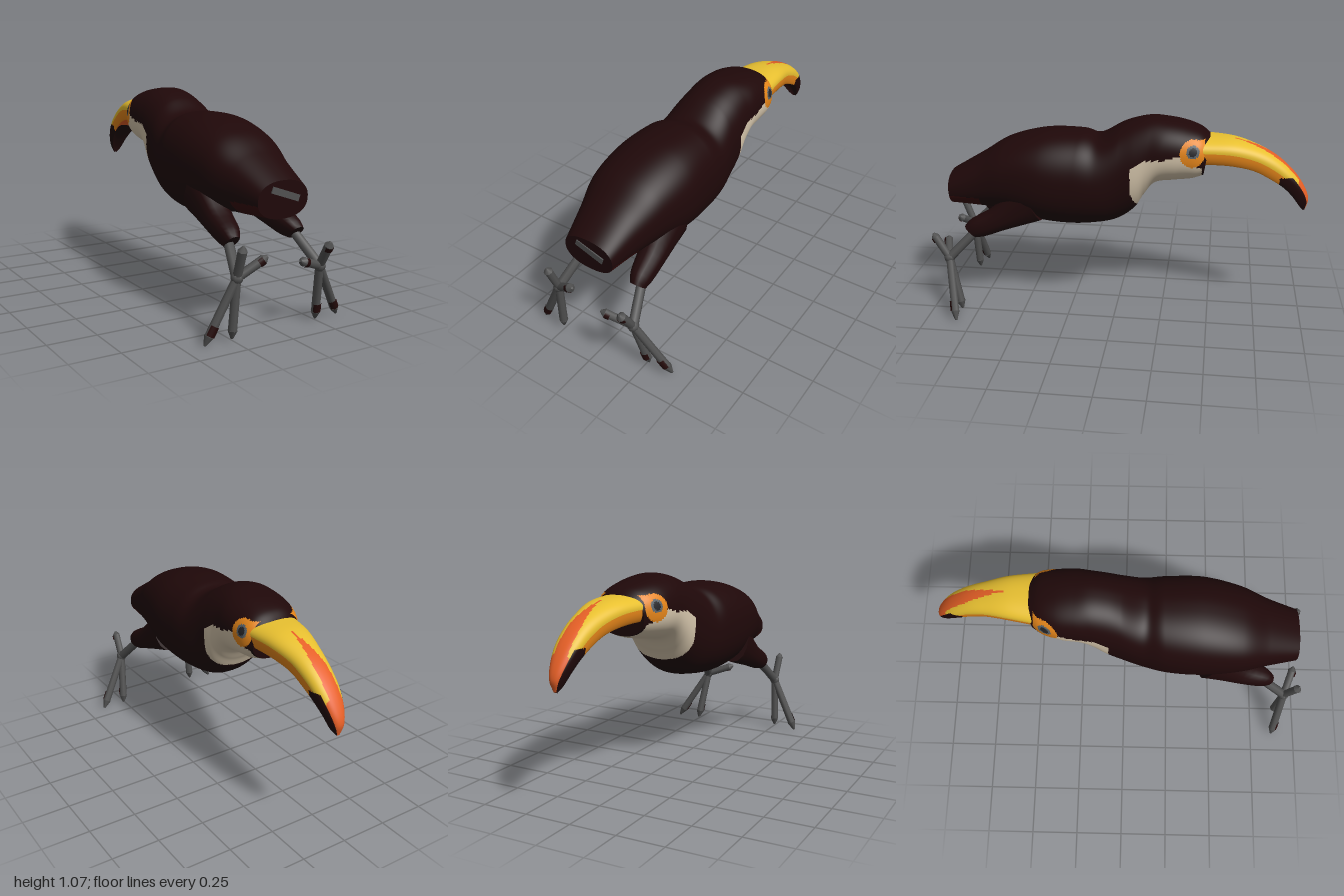
import * as THREE from 'three';

const mat = (name, color, side = THREE.FrontSide) => {
  const m = new THREE.MeshStandardMaterial({ color, side });
  m.name = name;
  return m;
};

// Skin stretched over sections [zTop, yTop, zBottom, yBottom, xCentre, halfWidth].
// paint(point, c) picks a material index; c is 1 on the ridge and -1 underneath.
function loft(sections, rows, cols, { paint = () => 0, hollow = false } = {}) {
  const top = new THREE.CatmullRomCurve3(
    sections.map(s => new THREE.Vector3(s[4], s[1], s[0])), false, 'catmullrom', 0.5);
  const bottom = new THREE.CatmullRomCurve3(
    sections.map(s => new THREE.Vector3(s[5], s[3], s[2])), false, 'catmullrom', 0.5);
  const soft = v => Math.sign(v) * Math.abs(v) ** 0.87;
  const pos = [];
  for (let i = 0; i <= rows; i++) {
    const a = top.getPoint(i / rows), b = bottom.getPoint(i / rows);
    for (let j = 0; j < cols; j++) {
      const angle = (j / cols) * Math.PI * 2;
      let c = soft(Math.cos(angle));
      // fold the underside inward for an open channel
      if (hollow && c < -0.6) c = -1.2 - c;
      if (hollow && c < 0) c /= 0.6;
      const k = (1 + c) / 2;
      pos.push(a.x + b.x * soft(Math.sin(angle)), b.y + (a.y - b.y) * k, b.z + (a.z - b.z) * k);
    }
  }
  const lists = [];
  const point = i => new THREE.Vector3().fromArray(pos, i * 3);
  for (let i = 0; i < rows; i++) {
    for (let j = 0; j < cols; j++) {
      const n = (j + 1) % cols;
      const a = i * cols + j, b = i * cols + n, c = a + cols, d = b + cols;
      const mid = point(a).add(point(d)).multiplyScalar(0.5);
      const m = paint(mid, Math.cos(((j + 0.5) / cols) * Math.PI * 2));
      (lists[m] ??= []).push(a, b, c, b, d, c);
    }
  }
  // end caps with their own vertices
  for (const row of [0, rows]) {
    const start = pos.length / 3;
    const centre = new THREE.Vector3();
    for (let j = 0; j < cols; j++) {
      const p = point(row * cols + j);
      centre.addScaledVector(p, 1 / cols);
      pos.push(p.x, p.y, p.z);
    }
    pos.push(centre.x, centre.y, centre.z);
    for (let j = 0; j < cols; j++) {
      const a = start + j, b = start + (j + 1) % cols;
      (lists[0] ??= []).push(...(row ? [a, b, start + cols] : [b, a, start + cols]));
    }
  }
  const g = new THREE.BufferGeometry();
  g.setAttribute('position', new THREE.Float32BufferAttribute(pos, 3));
  const index = [];
  lists.forEach((list, m) => {
    g.addGroup(index.length, list.length, m);
    for (const v of list) index.push(v);
  });
  g.setIndex(index);
  g.computeVertexNormals();
  return g;
}

// Tapered rod from a to b, or only its +z half as a thin shell
function rod(a, b, ra, rb, material, name, half = false) {
  const dir = b.clone().sub(a);
  const g = half
    ? new THREE.CylinderGeometry(rb, ra, dir.length(), 6, 1, true, -1.2, 2.4)
    : new THREE.CylinderGeometry(rb, ra, dir.length(), 8);
  const mesh = new THREE.Mesh(g, material);
  mesh.position.copy(a).add(b).multiplyScalar(0.5);
  mesh.quaternion.setFromUnitVectors(new THREE.Vector3(0, 1, 0), dir.normalize());
  mesh.name = name;
  return mesh;
}

export function createModel() {
  const plumage = mat('dark plumage', 0x1f0809);
  const cream = mat('cream bib', 0xd6c6ac);
  const orange = mat('orange', 0xf08c1c);
  const yellow = mat('yellow', 0xe8c030);
  const red = mat('red orange', 0xe55f26);
  const grey = mat('leg grey', 0x505050);
  const iris = mat('iris grey', 0x5a646c);
  const pupil = mat('pupil', 0x26262a);
  const undertail = mat('undertail red', 0x360a09);
  const markings = mat('dark toe marking', 0x240a0a, THREE.DoubleSide);
  const model = new THREE.Group();
  const add = (name, geometry, material, parent = model) => {
    const mesh = new THREE.Mesh(geometry, material);
    mesh.name = name;
    parent.add(mesh);
    return mesh;
  };

  // Body and head, tail to face, with bib, eyes and undertail painted by position
  const bibEdge = [[-0.08, 0.84], [-0.14, 0.885], [-0.25, 0.895], [-0.33, 0.92], [-0.36, 0.88], [-0.45, 0.85]];
  const bibTop = z => {
    const i = Math.max(1, bibEdge.findIndex(e => e[0] <= z));
    const [a, b] = [bibEdge[i - 1], bibEdge[i]];
    return a[1] + (b[1] - a[1]) * (z - a[0]) / (b[0] - a[0]);
  };
  const paintBody = p => {
    if (p.z > 0.74) return p.y < 0.62 && p.y > 0.555 ? 5 : 0;
    const eye = Math.hypot(p.z + 0.398, p.y - 0.94);
    if (eye < 0.021) return 4;
    if (eye < 0.033) return 3;
    // patch with a flared upper front corner
    const patch = Math.hypot((p.z + 0.395) / 0.063, (p.y - 0.93) / 0.07) < 1;
    const corner = p.z < -0.39 && p.z > -0.455 && p.y > 0.94 && p.y < 0.995;
    if (patch || corner) return 2;
    const back = -0.08 - Math.max(0, 0.7 - p.y) * 0.35;
    return p.z < back && p.z > -0.445 && p.y < bibTop(p.z) ? 1 : 0;
  };
  add('body and head', loft([
    [0.92, 0.73, 0.91, 0.55, -0.01, 0.14],
    [0.75, 0.83, 0.75, 0.54, -0.015, 0.18],
    [0.6, 0.92, 0.6, 0.53, -0.015, 0.225],
    [0.4, 0.975, 0.42, 0.485, -0.005, 0.252],
    [0.2, 0.98, 0.25, 0.47, 0, 0.245],
    [0.1, 0.965, 0.1, 0.485, 0.01, 0.225],
    [-0.02, 1.03, 0, 0.51, 0.015, 0.205],
    [-0.1, 1.06, -0.09, 0.575, 0.02, 0.195],
    [-0.18, 1.075, -0.14, 0.655, 0.023, 0.187],
    [-0.26, 1.07, -0.2, 0.73, 0.027, 0.185],
    [-0.35, 1.055, -0.3, 0.75, 0.03, 0.18],
    [-0.43, 1.03, -0.39, 0.765, 0.04, 0.165],
    [-0.48, 0.995, -0.45, 0.785, 0.045, 0.135],
  ], 260, 120, { paint: paintBody }), [plumage, cream, orange, iris, pupil, undertail]);

  // Pale bar on the end of the tail
  const bar = add('tail bar', new THREE.BoxGeometry(0.16, 0.032, 0.008), grey);
  bar.position.set(0, 0.665, 0.919);
  bar.rotation.z = -0.33;

  // Curved bill with widening ridge stripe, dark tip and channelled underside
  const paintBill = (p, c) => {
    if (p.z < -0.84 && p.y < 0.8 && c < 0.5) return 0;
    const stripe = Math.min(0.036, (-0.6 - p.z) * 0.16);
    if (c > 0 && (p.z < -0.94 || Math.abs(p.x - 0.063) < stripe)) return 3;
    if (c > 0.02) return 1;
    return c > -0.55 ? 2 : 3;
  };
  add('bill', loft([
    [-0.45, 0.995, -0.44, 0.865, 0.048, 0.138],
    [-0.6, 0.985, -0.58, 0.858, 0.055, 0.115],
    [-0.72, 0.95, -0.7, 0.833, 0.06, 0.09],
    [-0.82, 0.9, -0.79, 0.79, 0.065, 0.077],
    [-0.91, 0.825, -0.86, 0.745, 0.067, 0.066],
    [-0.97, 0.745, -0.91, 0.695, 0.068, 0.05],
    [-0.998, 0.675, -0.95, 0.64, 0.07, 0.03],
    [-0.985, 0.615, -0.975, 0.61, 0.07, 0.008],
  ], 140, 80, { paint: paintBill, hollow: true }), [plumage, yellow, orange, red]);

  // Legs: feathered thigh, bare shank and four toes [x, y, z, has marking]
  const legs = [
    { name: 'left leg', side: 1, hub: [0.222, 0.295, 0.905], toes: [
      [0.395, 0.008, 0.835, true], [0.258, 0.008, 0.84, true],
      [0.068, 0.352, 0.955, true], [0.212, 0.43, 0.99, true]] },
    { name: 'right leg', side: -1, hub: [-0.247, 0.305, 0.9], toes: [
      [-0.398, 0.006, 0.872, true], [-0.26, 0.018, 0.885, false],
      [-0.112, 0.398, 0.945, true], [-0.255, 0.465, 0.96, false]] },
  ];
  for (const { name, side, hub, toes } of legs) {
    const leg = new THREE.Group();
    leg.name = name;
    model.add(leg);
    const thigh = [
      [0.82, 0.47, 0.755, 0.405, 0.185, 0.036],
      [0.78, 0.51, 0.7, 0.415, 0.175, 0.055],
      [0.68, 0.565, 0.6, 0.45, 0.162, 0.07],
      [0.6, 0.64, 0.5, 0.48, 0.152, 0.08],
      [0.5, 0.74, 0.4, 0.51, 0.15, 0.085],
    ].map(r => [...r.slice(0, 4), side * r[4] - 0.015, r[5]]);
    add('thigh', loft(thigh, 12, 14), plumage, leg);

    const ankle = new THREE.Vector3(...hub);
    leg.add(rod(new THREE.Vector3(side * 0.185 - 0.015, 0.45, 0.75), ankle, 0.024, 0.025, grey, 'shank'));
    add('ankle', new THREE.SphereGeometry(0.03, 8, 6), grey, leg).position.copy(ankle);

    for (const [x, y, z, marked] of toes) {
      const tip = new THREE.Vector3(x, y, z);
      const joint = ankle.clone().lerp(tip, 0.86);
      leg.add(rod(ankle, joint, 0.021, 0.022, grey, 'toe'));
      leg.add(rod(joint, tip, 0.024, 0.006, grey, 'claw'));
      if (!marked) continue;
      const ends = [0.7, 0.85].map(t => ankle.clone().lerp(tip, t)).sort((a, b) => a.y - b.y);
      leg.add(rod(...ends, 0.025, 0.025, markings, 'toe marking', true));
    }
  }
  return model;
}
